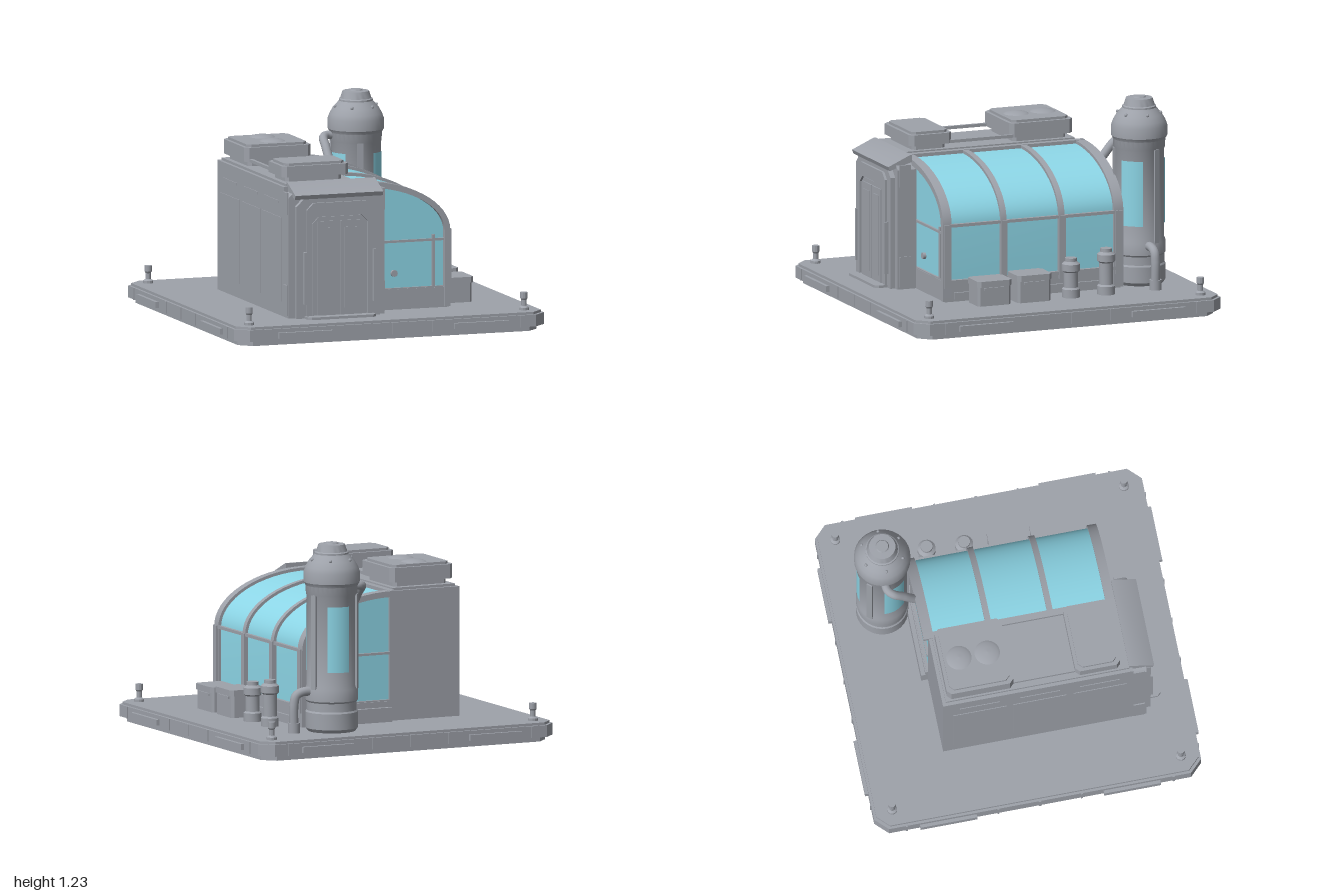
import * as THREE from 'three';
import { toCreasedNormals } from 'three/addons/utils/BufferGeometryUtils.js';

export function createModel() {
  const root = new THREE.Group();
  const mat = (name, color) => Object.assign(new THREE.MeshStandardMaterial({ color }), { name });
  const grey = mat('hull grey', 0x9ea2aa);
  const glass = mat('cyan glass', 0x90dbec);

  const add = (name, geo, m, x = 0, y = 0, z = 0, parent = root) => {
    const mesh = new THREE.Mesh(geo, m);
    mesh.name = name;
    mesh.position.set(x, y, z);
    parent.add(mesh);
    return mesh;
  };
  // box given by its extents
  const box = (name, x0, x1, y0, y1, z0, z1) =>
    add(name, new THREE.BoxGeometry(x1 - x0, y1 - y0, z1 - z0), grey, (x0 + x1) / 2, (y0 + y1) / 2, (z0 + z1) / 2);
  const extrude = (shape, depth) =>
    toCreasedNormals(new THREE.ExtrudeGeometry(shape, { depth, bevelEnabled: false }), 0.5);
  const shapeOf = pts => new THREE.Shape(pts.map(p => new THREE.Vector2(p[0], p[1])));
  const lathe = (pts, seg = 32) =>
    toCreasedNormals(new THREE.LatheGeometry(pts.map(p => new THREE.Vector2(p[0], p[1])), seg), 0.5);
  // rectangle with all four corners cut
  const cutRect = (x0, x1, y0, y1, c) => [[x0 + c, y0], [x1 - c, y0], [x1, y0 + c], [x1, y1 - c],
    [x1 - c, y1], [x0 + c, y1], [x0, y1 - c], [x0, y0 + c]];
  // horizontal slab with cut corners
  const slab = (name, x0, x1, y0, y1, z0, z1, c) => {
    const g = extrude(shapeOf(cutRect(x0, x1, -z1, -z0, c)), y1 - y0);
    g.rotateX(-Math.PI / 2);
    return add(name, g, grey, 0, y0, 0);
  };

  // ---- base platform
  slab('baseFoot', -0.935, 0.935, 0, 0.03, -0.945, 0.945, 0.07);
  slab('baseSlab', -0.97, 0.97, 0.03, 0.1, -0.98, 0.98, 0.075);
  slab('baseDeck', -0.955, 0.955, 0.1, 0.115, -0.965, 0.965, 0.07);
  for (const s of [-1, 1]) {
    for (const t of [-1, 1]) {
      const a = t * 0.55;
      add('edgePlate', new THREE.BoxGeometry(0.34, 0.035, 0.02), grey, a, 0.06, s * 0.99);
      add('edgePlate', new THREE.BoxGeometry(0.02, 0.035, 0.34), grey, s * 0.98, 0.06, a);
      // corner post with flared cap
      add('cornerPost', lathe([[0, 0], [0.03, 0], [0.03, 0.015], [0.016, 0.025], [0.016, 0.06],
        [0.022, 0.07], [0.022, 0.105], [0, 0.105]], 12), grey, s * 0.86, 0.115, t * 0.865);
    }
    for (const a of [-0.25, 0, 0.25, 0.8, -0.8]) {
      add('edgeSeam', new THREE.BoxGeometry(0.012, 0.07, 0.008), grey, a, 0.065, s * 0.982);
      add('edgeSeam', new THREE.BoxGeometry(0.008, 0.07, 0.012), grey, s * 0.972, 0.065, a);
    }
  }

  // ---- main block
  box('block', -0.56, -0.1, 0.115, 0.885, -0.5, 0.64);
  box('roofCurb', -0.54, -0.13, 0.885, 0.9, -0.48, 0.62);
  for (const x of [-0.505, -0.14]) box('roofRail', x - 0.01, x + 0.01, 0.93, 0.948, -0.1, 0.32);
  for (let i = 0; i < 3; i++) {
    const z = -0.44 + i * 0.36;
    box('wallPanel', -0.564, -0.56, 0.2, 0.7, z, z + 0.32);
    box('wallSlot', -0.564, -0.56, 0.78, 0.795, z + 0.04, z + 0.28);
  }

  // ---- rooftop units
  const unit = (z0, z1, y0, y1) => {
    slab('unitFoot', -0.51, -0.16, y0, y0 + 0.03, z0 + 0.03, z1 - 0.03, 0.02);
    slab('unitBody', -0.54, -0.125, y0 + 0.03, y1 - 0.015, z0, z1, 0.025);
    slab('unitLid', -0.52, -0.145, y1 - 0.015, y1, z0 + 0.02, z1 - 0.02, 0.025);
  };
  unit(-0.47, -0.07, 0.9, 1.03);
  unit(0.3, 0.57, 0.9, 1.01);
  for (const z of [-0.36, -0.19]) {
    add('fanDome', new THREE.LatheGeometry([[0.075, 0], [0.06, 0.008], [0.03, 0.014], [0, 0.016]]
      .map(p => new THREE.Vector2(...p)), 24), grey, -0.33, 1.03, z);
  }

  // ---- entrance portal
  const portal = (name, x0, x1, y1, c, z0, z1) =>
    add(name, extrude(shapeOf([[x0, 0.115], [x1, 0.115], [x1, y1 - c], [x1 - c, y1], [x0 + c, y1], [x0, y1 - c]]), z1 - z0), grey, 0, 0, z0);
  portal('portalBody', -0.56, 0.04, 0.87, 0.04, 0.6, 0.72);
  portal('portalFace', -0.52, 0, 0.84, 0.06, 0.72, 0.75);
  // door surround with a cut-cornered opening
  const ring = shapeOf([[-0.46, 0.115], [-0.43, 0.115], [-0.43, 0.68], [-0.39, 0.72], [-0.12, 0.72], [-0.08, 0.68],
    [-0.08, 0.115], [-0.05, 0.115], [-0.05, 0.76], [-0.09, 0.8], [-0.42, 0.8], [-0.46, 0.76]]);
  add('doorSurround', extrude(ring, 0.015), grey, 0, 0, 0.75);
  portal('doorFrame', -0.425, -0.085, 0.715, 0.04, 0.75, 0.757);
  for (const x of [-0.395, -0.25]) {
    box('doorLeaf', x, x + 0.135, 0.13, 0.69, 0.757, 0.764);
    box('doorPanel', x + 0.025, x + 0.11, 0.17, 0.65, 0.764, 0.768);
  }
  for (const x of [-0.48, -0.045]) box('doorRail', x, x + 0.015, 0.2, 0.51, 0.75, 0.775);
  for (const x of [-0.567, 0.035]) {
    box('sideBracket', x, x + 0.012, 0.73, 0.86, 0.64, 0.71);
    box('sideFoot', x, x + 0.012, 0.13, 0.31, 0.64, 0.71);
  }
  slab('doorStep', -0.47, -0.045, 0.115, 0.13, 0.7, 0.825, 0.02);
  // sloping canopy
  const canopy = extrude(shapeOf([[0.62, 0.87], [0.76, 0.825], [0.77, 0.85], [0.63, 0.912], [0.62, 0.912]]), 0.55);
  canopy.rotateY(-Math.PI / 2);
  add('canopy', canopy, grey, 0.015, 0, 0);

  // ---- greenhouse: wall rising into a quarter-ellipse roof
  const arc = (d, y0) => {
    const pts = [[0.49 - d, y0]];
    for (let i = 0; i <= 16; i++) {
      const a = i / 16 * Math.PI / 2;
      pts.push([-0.1 + (0.59 - d) * Math.cos(a), 0.57 + (0.32 - d) * Math.sin(a)]);
    }
    return pts;
  };
  add('glassVault', extrude(shapeOf([...arc(0.018, 0.2), [-0.1, 0.2]]), 1.08), glass, 0, 0, -0.49);
  const rib = (z0, z1, d0, d1) =>
    add('archRib', extrude(shapeOf([...arc(d0, 0.12), ...arc(d1, 0.12).reverse()]), z1 - z0), grey, 0, 0, z0);
  rib(0.565, 0.62, 0, 0.035);
  rib(-0.53, -0.47, 0, 0.035);
  rib(0.215, 0.25, 0, 0.03);
  rib(-0.155, -0.12, 0, 0.03);
  box('sillWall', -0.1, 0.485, 0.115, 0.235, -0.515, 0.605);
  box('sillRail', 0.47, 0.495, 0.225, 0.245, -0.52, 0.61);
  box('sillSkirt', 0.48, 0.5, 0.13, 0.17, -0.45, 0.55);
  box('sideRail', 0.465, 0.492, 0.562, 0.58, -0.52, 0.61);
  box('ridgeBeam', -0.13, -0.09, 0.87, 0.892, -0.53, 0.62);
  for (const z of [0.592, 0.232, -0.138, -0.5]) box('ribPost', 0.465, 0.5, 0.2, 0.58, z - 0.02, z + 0.02);
  // end wall bars, front and back
  for (const [z0, z1] of [[0.585, 0.603], [-0.508, -0.485]]) {
    box('crossBar', -0.1, 0.46, 0.512, 0.526, z0, z1);
    box('uprightBar', 0.383, 0.4, 0.235, 0.55, z0, z1);
    box('endSill', -0.1, 0.47, 0.228, 0.243, z0, z1);
  }
  box('backPlinth', -0.1, 0.45, 0.115, 0.2, -0.54, -0.5);
  add('wallKnob', new THREE.CylinderGeometry(0.02, 0.02, 0.02, 12).rotateX(Math.PI / 2), grey, 0.145, 0.33, 0.598);

  // ---- tank
  const tank = new THREE.Group();
  tank.name = 'tank';
  tank.position.set(0.372, 0, -0.68);
  root.add(tank);
  add('tankBody', lathe([[0, 0.115], [0.14, 0.115], [0.155, 0.135], [0.155, 0.23], [0.148, 0.24], [0.148, 0.29],
    [0.155, 0.3], [0.155, 0.37], [0.147, 0.39], [0.147, 0.92], [0.152, 0.93], [0.154, 0.98], [0.166, 1.0], [0.166, 1.06],
    [0.155, 1.09], [0.135, 1.125], [0.108, 1.155], [0.1, 1.165]]), grey, 0, 0, 0, tank);
  add('tankCap', lathe([[0.1, 1.16], [0.1, 1.175], [0.092, 1.18], [0.078, 1.222], [0.04, 1.224], [0.035, 1.232],
    [0, 1.232]]), grey, 0, 0, 0, tank);
  for (let i = 0; i < 3; i++) {
    // curved window panes with one post midway between them
    const a = (40 + i * 120) * Math.PI / 180, w = 0.9, b = a + Math.PI / 3;
    add('tankWindow', new THREE.CylinderGeometry(0.151, 0.151, 0.39, 12, 1, true, Math.PI / 2 - a - w / 2, w),
      glass, 0, 0.67, 0, tank);
    add('tankPost', new THREE.BoxGeometry(0.02, 0.56, 0.035), grey,
      Math.cos(b) * 0.148, 0.65, Math.sin(b) * 0.148, tank).rotation.y = -b;
  }
  for (let i = 0; i < 6; i++) {
    const a = i * Math.PI / 3;
    add('tankBolt', new THREE.SphereGeometry(0.01, 8, 6), grey, Math.cos(a) * 0.128, 1.135, Math.sin(a) * 0.128, tank);
  }
  const pipe = (name, r, pts) => add(name, new THREE.TubeGeometry(
    new THREE.CatmullRomCurve3(pts.map(p => new THREE.Vector3(...p)), false, 'centripetal'), 32, r, 12), grey);
  pipe('upperPipe', 0.026, [[0.25, 0.965, -0.69], [0.19, 0.965, -0.685], [0.16, 0.955, -0.655], [0.155, 0.91, -0.6],
    [0.155, 0.84, -0.54], [0.155, 0.8, -0.5]]);
  pipe('lowerPipe', 0.027, [[0.5, 0.355, -0.68], [0.56, 0.355, -0.68], [0.605, 0.335, -0.68], [0.62, 0.28, -0.68], [0.62, 0.115, -0.68]]);
  add('pipeFlange', new THREE.CylinderGeometry(0.036, 0.036, 0.06, 16), grey, 0.62, 0.145, -0.68);

  // ---- canisters and crates beside the greenhouse
  for (const [z, h] of [[-0.365, 0.275], [-0.14, 0.235]]) {
    add('canister', lathe([[0, 0], [0.053, 0], [0.053, 0.05], [0.042, 0.06], [0.042, h - 0.085], [0.054, h - 0.075],
      [0.054, h - 0.035], [0.035, h - 0.02], [0.035, h], [0, h]], 20), grey, 0.62, 0.115, z);
  }
  for (const [z, h] of [[0.115, 0.28], [0.37, 0.265]]) {
    slab('crate', 0.525, 0.68, 0.115, h - 0.035, z - 0.105, z + 0.105, 0.015);
    slab('crateLid', 0.515, 0.69, h - 0.035, h, z - 0.11, z + 0.11, 0.02);
    box('crateLatch', 0.68, 0.688, h - 0.055, h - 0.04, z - 0.07, z + 0.07);
  }
  return root;
}
